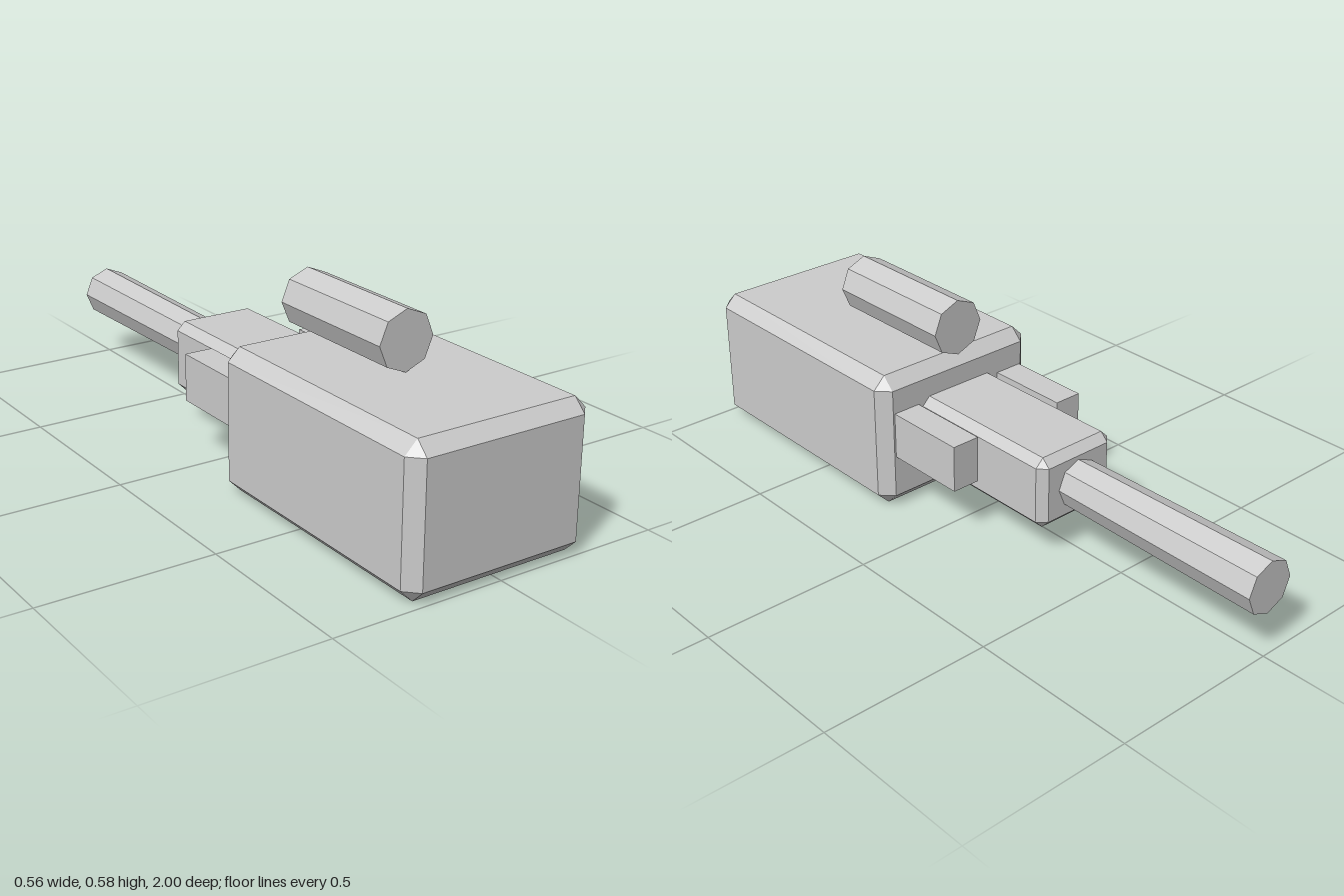
import * as THREE from 'three';
import { ConvexGeometry } from 'three/addons/geometries/ConvexGeometry.js';

// Box with every edge and corner cut flat, given by its bounds and the cut size
function chamferedBox(min, max, cut) {
  const center = min.map((v, i) => (v + max[i]) / 2);
  const half = min.map((v, i) => (max[i] - v) / 2);
  const points = [];
  for (const sx of [-1, 1]) for (const sy of [-1, 1]) for (const sz of [-1, 1]) {
    const sign = [sx, sy, sz];
    for (let full = 0; full < 3; full++) {
      points.push(new THREE.Vector3(...sign.map((s, i) =>
        center[i] + s * (half[i] - (i === full ? 0 : cut)))));
    }
  }
  return new ConvexGeometry(points);
}

// Eight-sided bar lying along z, with its own radius at each end
function bar(frontRadius, backRadius, frontZ, backZ, y) {
  return new THREE.CylinderGeometry(frontRadius, backRadius, frontZ - backZ, 8)
    .rotateX(Math.PI / 2)
    .translate(0, y, (frontZ + backZ) / 2);
}

export function createModel() {
  const model = new THREE.Group();
  const grey = new THREE.MeshStandardMaterial({ color: 0xcccccc });
  grey.name = 'light grey';
  grey.flatShading = true;

  const add = (name, geometry) => {
    const mesh = new THREE.Mesh(geometry, grey);
    mesh.name = name;
    model.add(mesh);
  };

  // Main block and the narrower block behind it
  add('body', chamferedBox([-0.28, 0, 0.175], [0.28, 0.415, 1], 0.037));
  add('neck', chamferedBox([-0.135, 0.1, -0.325], [0.135, 0.318, 0.22], 0.025));

  // Rear shaft, widening slightly towards its end
  add('shaft', bar(0.071, 0.078, -0.31, -1, 0.21));

  // Bar lying on top of the body
  add('topBar', bar(0.085, 0.085, 0.61, 0.175, 0.5));

  // Lugs on both sides of the neck
  for (const side of [-1, 1]) {
    add(side > 0 ? 'leftLug' : 'rightLug',
      new THREE.BoxGeometry(0.087, 0.14, 0.28).translate(side * 0.194, 0.235, 0.058));
  }

  return model;
}
